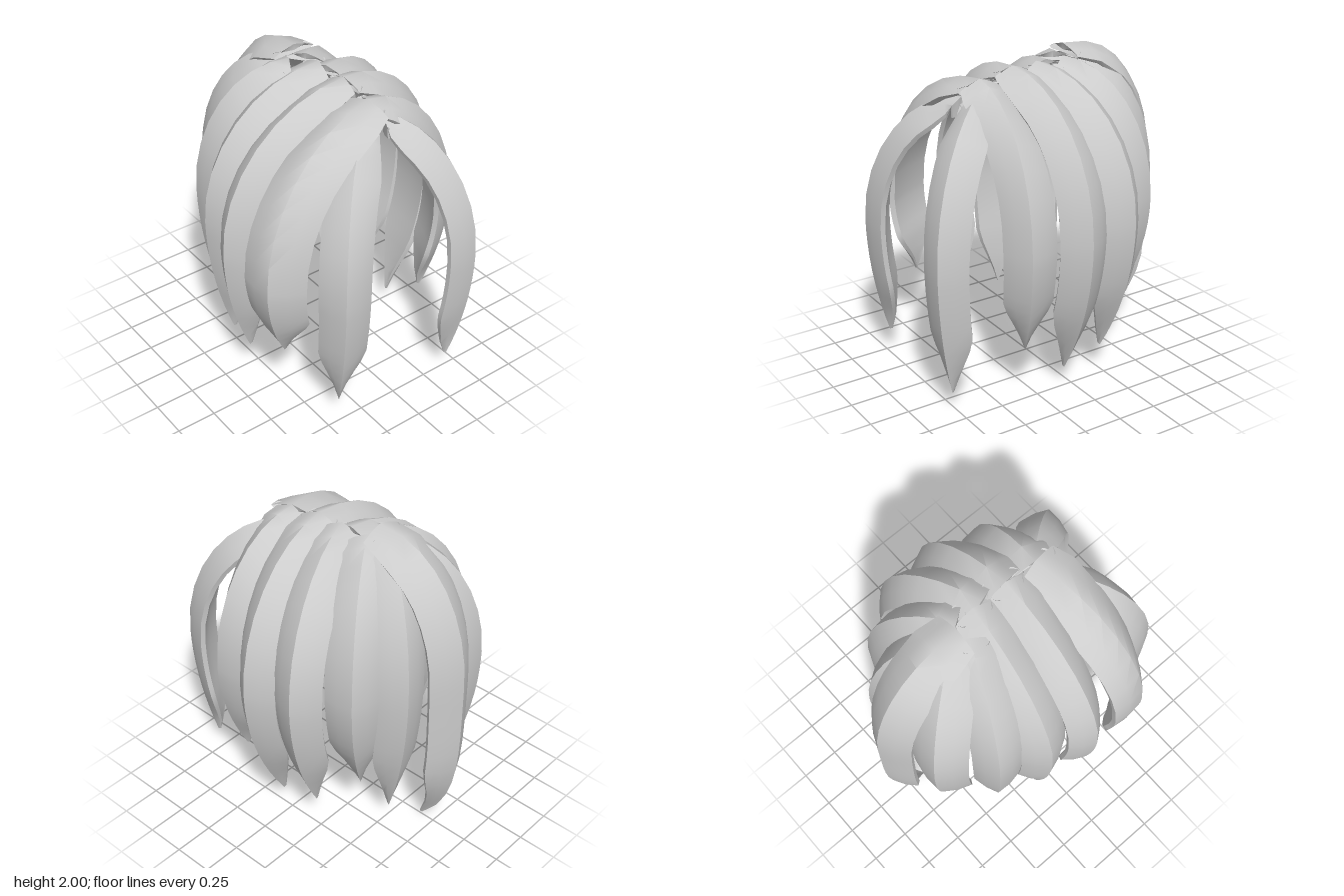
import * as THREE from 'three';
import { toCreasedNormals } from 'three/addons/utils/BufferGeometryUtils.js';

// Each lock: z of its root on the parting, x and z of its widest point, x and y of its tip, width
const LOCKS = {
  frontLockRight: [0.44, -0.47, 0.87, -0.43, 0.18, 0.3],
  frontLockLeft: [0.43, 0.47, 0.9, 0.4, 0.13, 0.29],
  templeLockRight: [0.36, -0.77, 0.53, -0.61, 0.46, 0.39],
  templeLockLeft: [0.36, 0.69, 0.41, 0.53, 0.35, 0.31],
  sideLockRight: [0.14, -0.8, 0.13, -0.63, 0.27, 0.28],
  sideLockLeft: [0.14, 0.8, 0.07, 0.51, 0.13, 0.31],
  earLockRight: [-0.1, -0.73, -0.17, -0.58, 0.22, 0.3],
  earLockLeft: [-0.03, 0.76, -0.26, 0.5, 0.2, 0.31],
  rearSideLockRight: [-0.23, -0.6, -0.47, -0.46, 0.16, 0.3],
  rearSideLockLeft: [-0.22, 0.54, -0.54, 0.32, 0.35, 0.32],
  backLockRight: [-0.34, -0.36, -0.77, -0.24, 0.15, 0.35],
  backLockLeft: [-0.34, 0.28, -0.74, 0.2, 0.15, 0.3],
  backLockCentre: [-0.26, -0.01, -0.91, -0.01, 0, 0.36],
};

const THICKNESS = 0.135;
const UPPER = 8, LOWER = 9;

// Cross-section as [across, depth]: ridged outside, then the nearly flat inside
const SECTION = [
  [-1, 0.8], [-0.55, 0.34], [0, 0], [0.55, 0.34], [1, 0.8],
  [0.9, 1], [0, 0.92], [-0.9, 1],
];

// Ridge line: a rounded arch from the parting, then a curl in to the tip
function ridgePath([rootZ, bulgeX, bulgeZ, tipX, tipY], isCentre) {
  // The parting dips at the forehead; front and rear locks start on their own side
  const isFront = rootZ > 0.4;
  const rootX = rootZ > -0.2 ? 0.06 + (isFront ? 0.13 * bulgeX : 0) : 0.1 * bulgeX;
  const rootY = isCentre ? 2 : 1.94 - 20 * Math.max(0, rootZ) ** 6;
  const bulgeY = 1.06 - 0.12 * bulgeZ;
  const tipZ = bulgeZ * (0.87 + 0.17 * Math.min(0, bulgeZ));
  const hook = isFront ? 0.12 : 0.04;
  const rootWidth = isFront ? 0.5 : 0.82;
  const curl = isCentre ? 4.5 : 2;
  const reach = isCentre ? 0.82 : isFront ? 1.2 : 1;

  const stations = [];
  const mix = THREE.MathUtils.lerp;
  const add = (x, y, z, turn, wide, deep) => stations.push({ p: new THREE.Vector3(x, y, z), turn, wide, deep });
  add(rootX, rootY - hook, rootZ, 0, rootWidth * 0.85, 0.4);
  for (let i = 0; i <= UPPER; i++) {
    const a = (i / UPPER) * Math.PI / 2, f = Math.sin(a), out = f ** reach;
    add(mix(rootX, bulgeX, f), mix(bulgeY, rootY, Math.cos(a)), mix(rootZ, bulgeZ, out), f,
      Math.min(1, rootWidth + f), Math.min(1, 0.5 + 1.3 * f));
  }
  for (let i = 1; i <= LOWER; i++) {
    const u = i / LOWER, k = u ** curl;
    const wide = u < 0.6 ? 1 - 0.1 * u : Math.max(0.02, 0.94 * (1 - u) / 0.4);
    add(mix(bulgeX, tipX, k), mix(bulgeY, tipY, u), mix(bulgeZ, tipZ, k), 1, wide, Math.sqrt(wide));
  }
  return stations;
}

// Sweep the section down the ridge, turning it from the parting to face outward
function lockGeometry(lock, isCentre) {
  const stations = ridgePath(lock, isCentre);
  const n = SECTION.length, last = stations.length - 1;
  const [rootZ, bulgeX, bulgeZ] = lock, width = lock[5];
  const start = new THREE.Vector3(bulgeX - stations[0].p.x, 0, bulgeZ - rootZ).normalize();
  const end = new THREE.Vector3(bulgeX * 1.2, 0, bulgeZ).normalize();
  const up = new THREE.Vector3(0, 1, 0);
  const positions = [], index = [];

  stations.forEach(({ p, turn, wide, deep }, i) => {
    const tangent = stations[Math.min(i + 1, last)].p.clone().sub(stations[Math.max(i - 1, 0)].p).normalize();
    const side = up.clone().cross(start.clone().lerp(end, turn)).normalize();
    const normal = tangent.clone().cross(side).normalize();
    for (const [across, depth] of SECTION) {
      const v = p.clone()
        .addScaledVector(side, across * width * 0.5 * wide)
        .addScaledVector(normal, -depth * THICKNESS * deep);
      positions.push(v.x, v.y, v.z);
    }
  });

  for (let i = 0; i < last; i++) {
    for (let j = 0; j < n; j++) {
      const a = i * n + j, b = i * n + (j + 1) % n;
      index.push(a, a + n, b, b, a + n, b + n);
    }
  }
  // End caps
  for (let j = 1; j < n - 1; j++) {
    index.push(0, j, j + 1);
    index.push(last * n, last * n + j + 1, last * n + j);
  }

  const geometry = new THREE.BufferGeometry();
  geometry.setAttribute('position', new THREE.Float32BufferAttribute(positions, 3));
  geometry.setIndex(index);
  return toCreasedNormals(geometry, 0.8);
}

export function createModel() {
  const hair = new THREE.Group();
  hair.name = 'hair';
  const material = new THREE.MeshStandardMaterial({ color: 0xcccccc });
  for (const [name, lock] of Object.entries(LOCKS)) {
    const mesh = new THREE.Mesh(lockGeometry(lock, name === 'backLockCentre'), material);
    mesh.name = name;
    hair.add(mesh);
  }
  return hair;
}
